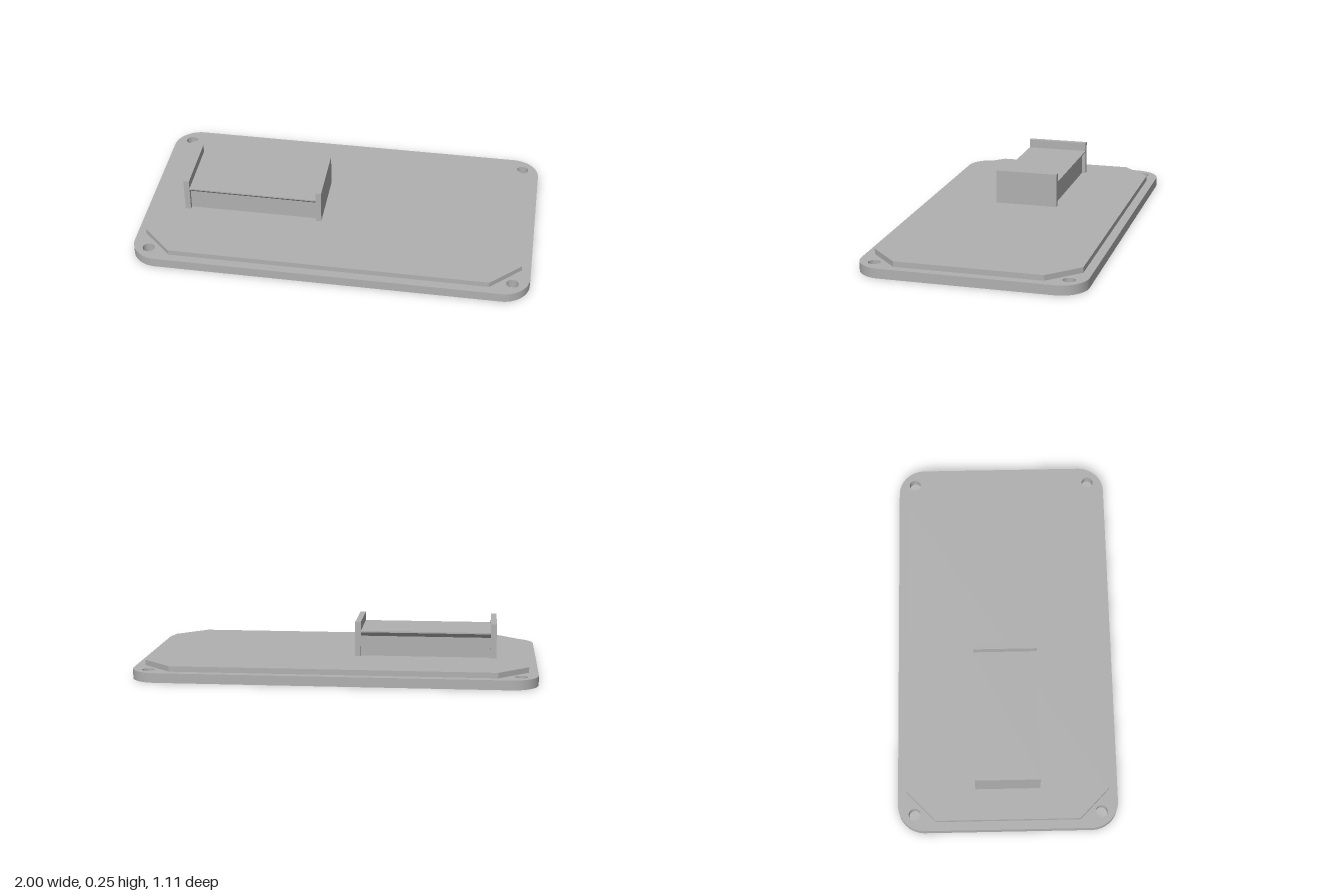
import * as THREE from 'three';
import { toCreasedNormals } from 'three/addons/utils/BufferGeometryUtils.js';

export function createModel() {
  const group = new THREE.Group();
  const grey = new THREE.MeshStandardMaterial({ color: 0xb0b0b0 });
  grey.name = 'grey plastic';

  const add = (name, geometry, x = 0, y = 0, z = 0) => {
    const mesh = new THREE.Mesh(geometry, grey);
    mesh.name = name;
    mesh.position.set(x, y, z);
    group.add(mesh);
  };
  const extrude = (shape, depth) =>
    new THREE.ExtrudeGeometry(shape, { depth, bevelEnabled: false, curveSegments: 16 });
  const polygon = (points) => new THREE.Shape(points.map(([x, y]) => new THREE.Vector2(x, y)));

  // Base plate with rounded corners and four screw holes
  const w = 1, d = 0.554, r = 0.135;
  const outline = new THREE.Shape();
  outline.absarc(w - r, d - r, r, 0, Math.PI / 2);
  outline.absarc(r - w, d - r, r, Math.PI / 2, Math.PI);
  outline.absarc(r - w, r - d, r, Math.PI, Math.PI * 1.5);
  outline.absarc(w - r, r - d, r, Math.PI * 1.5, Math.PI * 2);
  outline.closePath();
  for (const sx of [-1, 1]) for (const sz of [-1, 1]) {
    outline.holes.push(new THREE.Path().absarc(sx * 0.915, sz * 0.47, 0.03, 0, Math.PI * 2, true));
  }
  add('basePlate', toCreasedNormals(extrude(outline, 0.048).rotateX(-Math.PI / 2), 0.6));

  // Raised panel with cut corners
  const panel = polygon([
    [0.955, -0.362], [0.955, 0.362], [0.803, 0.51], [-0.803, 0.51],
    [-0.955, 0.362], [-0.955, -0.362], [-0.803, -0.51], [0.803, -0.51],
  ]);
  add('raisedPanel', extrude(panel, 0.027).rotateX(-Math.PI / 2), 0, 0.048);

  // Mount block with a flared lip along its top edges
  const block = polygon([
    [-0.143, 0.075], [0.143, 0.075], [0.143, 0.177], [0.163, 0.198], [0.163, 0.205],
    [-0.163, 0.205], [-0.163, 0.198], [-0.143, 0.177],
  ]);
  add('mountBlock', extrude(block, 0.656).rotateY(Math.PI / 2), -0.768);

  // Upright end plates
  for (const [name, x] of [['rightEndPlate', -0.7825], ['leftEndPlate', -0.0975]]) {
    add(name, new THREE.BoxGeometry(0.029, 0.175, 0.326), x, 0.1625);
  }
  return group;
}
